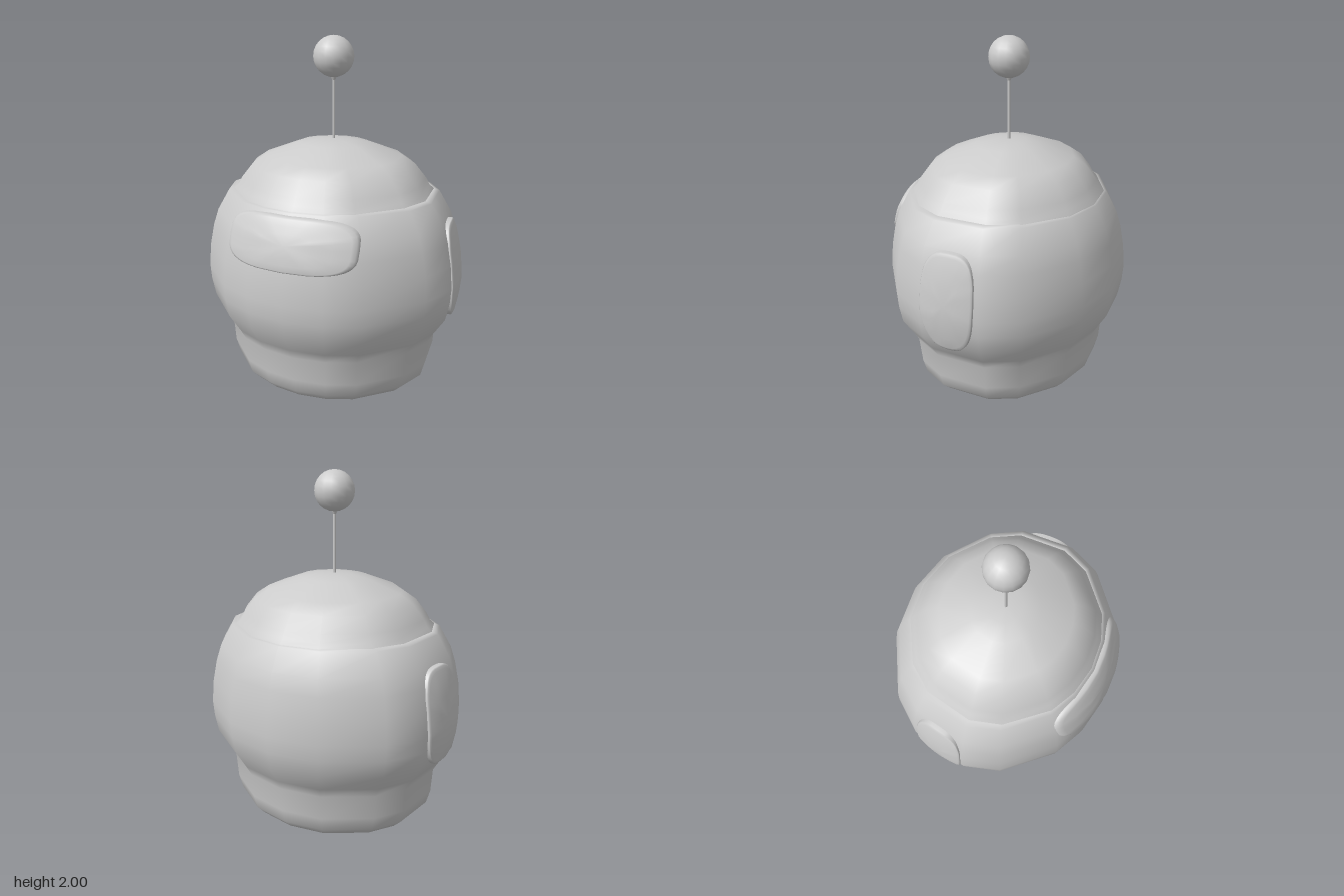
import * as THREE from 'three';
import { mergeVertices } from 'three/addons/utils/BufferGeometryUtils.js';

const material = new THREE.MeshStandardMaterial({ color: 0xcccccc });
const DEPTH = 0.89; // depth of the oval section relative to its width

// Angles of the oval section, measured from the back, mirrored to the other side
const half = [0, 22, 50, 69, 99, 118, 147, 163, 180];
const angles = [...half, ...half.slice(1, -1).reverse().map((a) => 360 - a)];

// Profiles as [half width, height]
const shellProfile = [
  [0, 0], [0.2, 0.005], [0.395, 0.02], [0.535, 0.07], [0.587, 0.12], [0.61, 0.2], [0.62, 0.34],
  [0.655, 0.4], [0.72, 0.5], [0.74, 0.6], [0.747, 0.69], [0.735, 0.82], [0.71, 0.94],
  [0.68, 1.03], [0.61, 1.15], [0.58, 1.16], [0.5, 1.16],
];
const domeProfile = [
  [0.585, 1.13], [0.575, 1.16], [0.55, 1.18], [0.53, 1.22], [0.465, 1.3], [0.39, 1.35],
  [0.2, 1.42], [0.1, 1.435], [0, 1.44],
];

function makeGeometry(positions, index) {
  const geometry = new THREE.BufferGeometry();
  geometry.setAttribute('position', new THREE.Float32BufferAttribute(positions, 3));
  geometry.setIndex(index);
  const merged = mergeVertices(geometry, 1e-5);
  merged.computeVertexNormals();
  return merged;
}

// Joins equally sized rows of points; each row is a closed loop
function joinRows(rows) {
  const n = rows[0].length;
  const index = [];
  for (let i = 0; i < rows.length - 1; i++) {
    for (let j = 0; j < n; j++) {
      const a = i * n + j, b = i * n + ((j + 1) % n);
      index.push(b, a, a + n, b, a + n, b + n);
    }
  }
  return makeGeometry(rows.flat(2), index);
}

function ovalLoft(profile, depth) {
  return joinRows(profile.map(([r, y]) => angles.map((deg) => {
    const a = THREE.MathUtils.degToRad(deg);
    return [r * Math.sin(a), y, -r * depth * Math.cos(a)];
  })));
}

// Half width of the shell at a height
function shellRadius(y) {
  const i = Math.max(1, shellProfile.findIndex((p) => p[1] >= y));
  const [r0, y0] = shellProfile[i - 1], [r1, y1] = shellProfile[i];
  return r0 + ((r1 - r0) * (y - y0)) / (y1 - y0);
}
const frontZ = (x, y) => DEPTH * Math.sqrt(Math.max(0, shellRadius(y) ** 2 - x * x));
const sideX = (z, y) => Math.sqrt(Math.max(0, shellRadius(y) ** 2 - (z / DEPTH) ** 2));

// Raised pad with a rounded outline: place(u, v, lift) lays it on the shell
function pad(halfU, halfV, topPower, bottomPower, lift, place) {
  const rings = [[1, -0.06], [1, lift * 0.2], [0.975, lift * 0.75], [0.92, lift], [0.7, lift], [0.4, lift], [0, lift]];
  const steps = 40;
  const rows = rings.map(([s, h]) => Array.from({ length: steps }, (_, j) => {
    const t = (-j / steps) * Math.PI * 2;
    const c = Math.cos(t), d = Math.sin(t);
    const e = 2 / (d > 0 ? topPower : bottomPower);
    const u = Math.sign(c) * Math.abs(c) ** e * halfU * s;
    const v = Math.sign(d) * Math.abs(d) ** e * halfV * s;
    return place(u, v, h);
  }));
  return joinRows(rows);
}

export function createModel() {
  const model = new THREE.Group();
  model.name = 'helmet';
  const add = (name, geometry, y = 0) => {
    const mesh = new THREE.Mesh(geometry, material);
    mesh.name = name;
    mesh.position.y = y;
    model.add(mesh);
  };

  // Rounded shell with its neck, and the dome set into its rim
  add('shell', ovalLoft(shellProfile, DEPTH));
  add('dome', ovalLoft(domeProfile, 0.92));

  // Visor pad bent around the front
  add('visor', pad(0.37, 0.135, 3.2, 4, 0.022, (u, v, h) => {
    const y = 1.005 + v;
    return [u, y, frontZ(u, y) + h];
  }));

  // Ear pads on both sides
  for (const side of [1, -1]) {
    add(side > 0 ? 'leftEarPad' : 'rightEarPad', pad(0.153, 0.275, 3, 2.4, 0.006, (u, v, h) => {
      const y = 0.755 + v, z = -0.06 - side * u;
      return [side * (sideX(z, y) + h), y, z];
    }));
  }

  // Antenna
  add('antennaRod', new THREE.CylinderGeometry(0.008, 0.008, 0.36, 10), 1.61);
  add('antennaCollar', new THREE.CylinderGeometry(0.02, 0.009, 0.025, 10), 1.775);
  add('antennaBall', new THREE.SphereGeometry(0.112, 16, 12), 1.888);
  return model;
}
